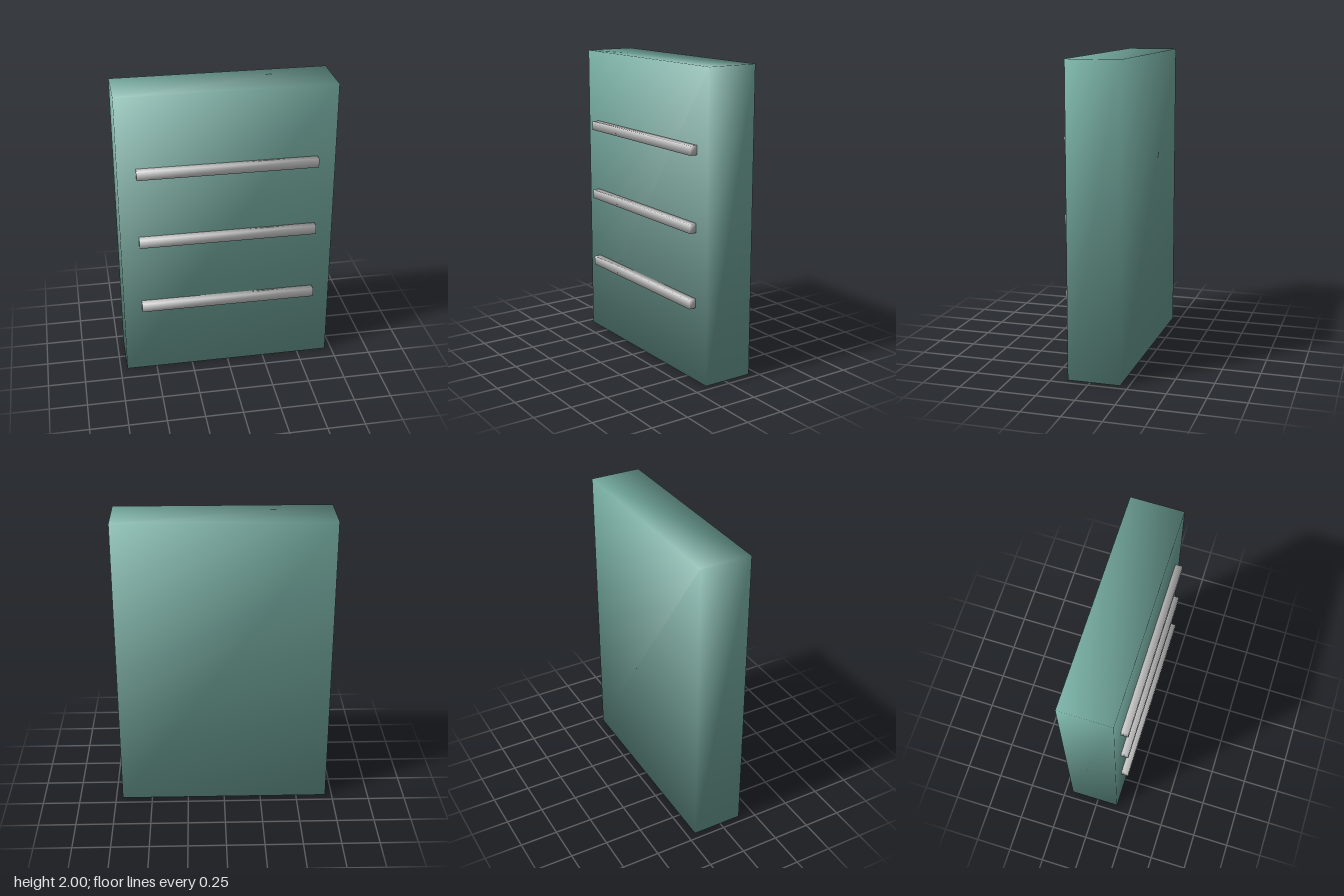
import * as THREE from 'three';

// Box whose normals are shared at each corner, giving soft shading over flat faces
function softBox(w, h, d) {
  const g = new THREE.BoxGeometry(w, h, d);
  const p = g.attributes.position, n = g.attributes.normal;
  const k = 1 / Math.sqrt(3);
  for (let i = 0; i < p.count; i++) {
    n.setXYZ(i, Math.sign(p.getX(i)) * k, Math.sign(p.getY(i)) * k, Math.sign(p.getZ(i)) * k);
  }
  return g;
}

export function createModel() {
  const model = new THREE.Group();
  model.name = 'panelWithRails';
  const teal = new THREE.MeshStandardMaterial({ color: 0x76ada2 });
  const grey = new THREE.MeshStandardMaterial({ color: 0xcccccc });

  // Upright slab
  const panel = new THREE.Mesh(softBox(1.41, 2, 0.342), teal);
  panel.name = 'panel';
  panel.position.set(0, 1, -0.024);
  model.add(panel);

  // Three horizontal rails on the front face
  const rails = new THREE.Group();
  rails.name = 'rails';
  const railGeometry = softBox(1.17, 0.06, 0.048);
  [0.515, 1.003, 1.49].forEach((y, i) => {
    const rail = new THREE.Mesh(railGeometry, grey);
    rail.name = `rail${i + 1}`;
    rail.position.set(0, y, 0.171);
    rails.add(rail);
  });
  model.add(rails);

  return model;
}
